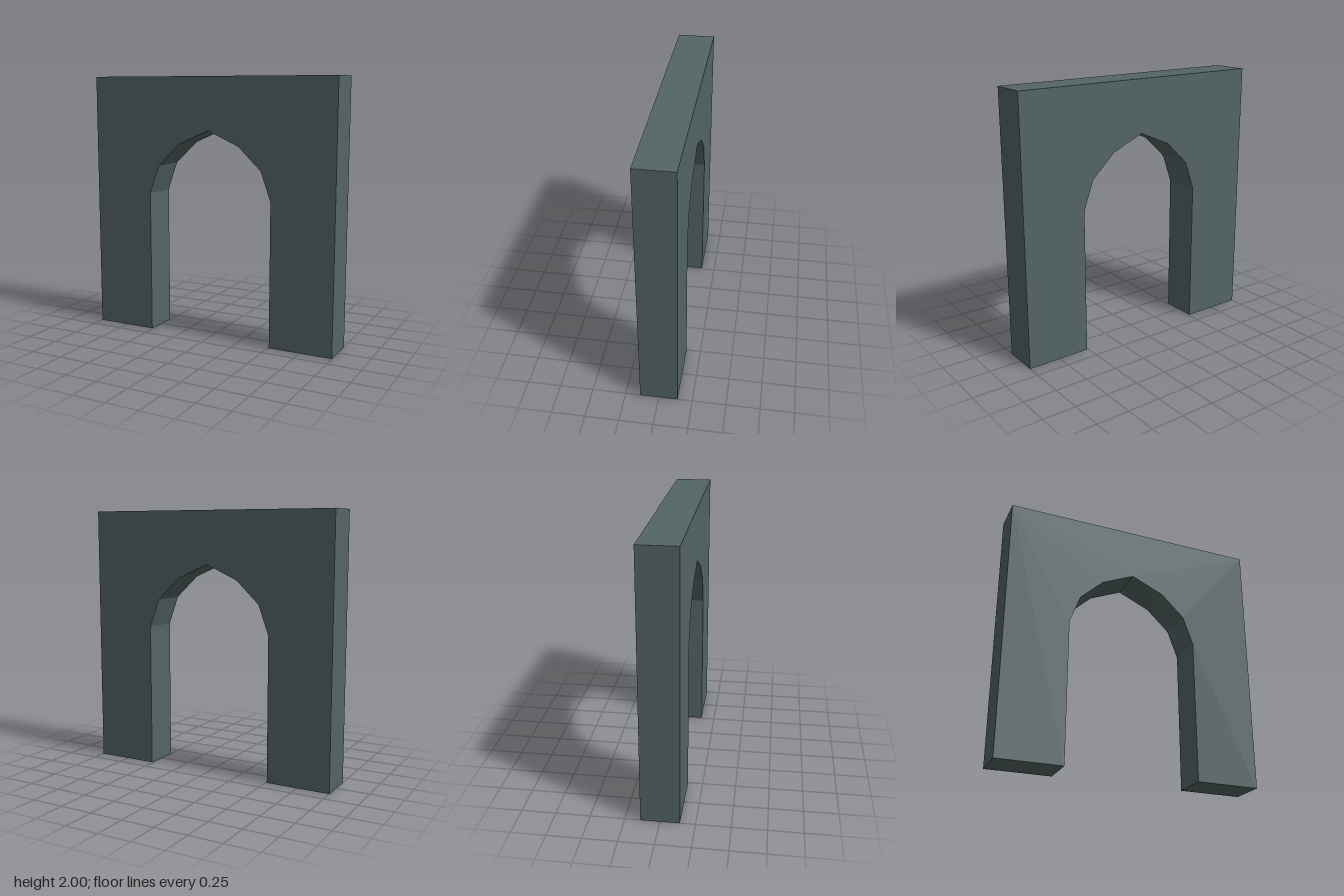
import * as THREE from 'three';

export function createModel() {
  const group = new THREE.Group();
  group.name = 'archway';
  const stone = new THREE.MeshStandardMaterial({ color: 0x546565, flatShading: true });
  stone.name = 'slate stone';

  // Right half of the opening, from the floor up to just below the peak
  const half = [[0.51, 0], [0.51, 1.1], [0.43, 1.32], [0.25, 1.49]];
  const opening = [...half, [0, 1.6], ...half.map(([x, y]) => [-x, y]).reverse()];

  // Wall outline with the faceted arch cut out from below
  const outline = [[1, 0], [1, 2], [-1, 2], [-1, 0], ...opening.reverse()];
  const shape = new THREE.Shape(outline.map(([x, y]) => new THREE.Vector2(x, y)));

  const depth = 0.28;
  const geometry = new THREE.ExtrudeGeometry(shape, { depth, bevelEnabled: false });
  geometry.translate(0, 0, -depth / 2);
  const wall = new THREE.Mesh(geometry, stone);
  wall.name = 'archedWall';
  group.add(wall);
  return group;
}
